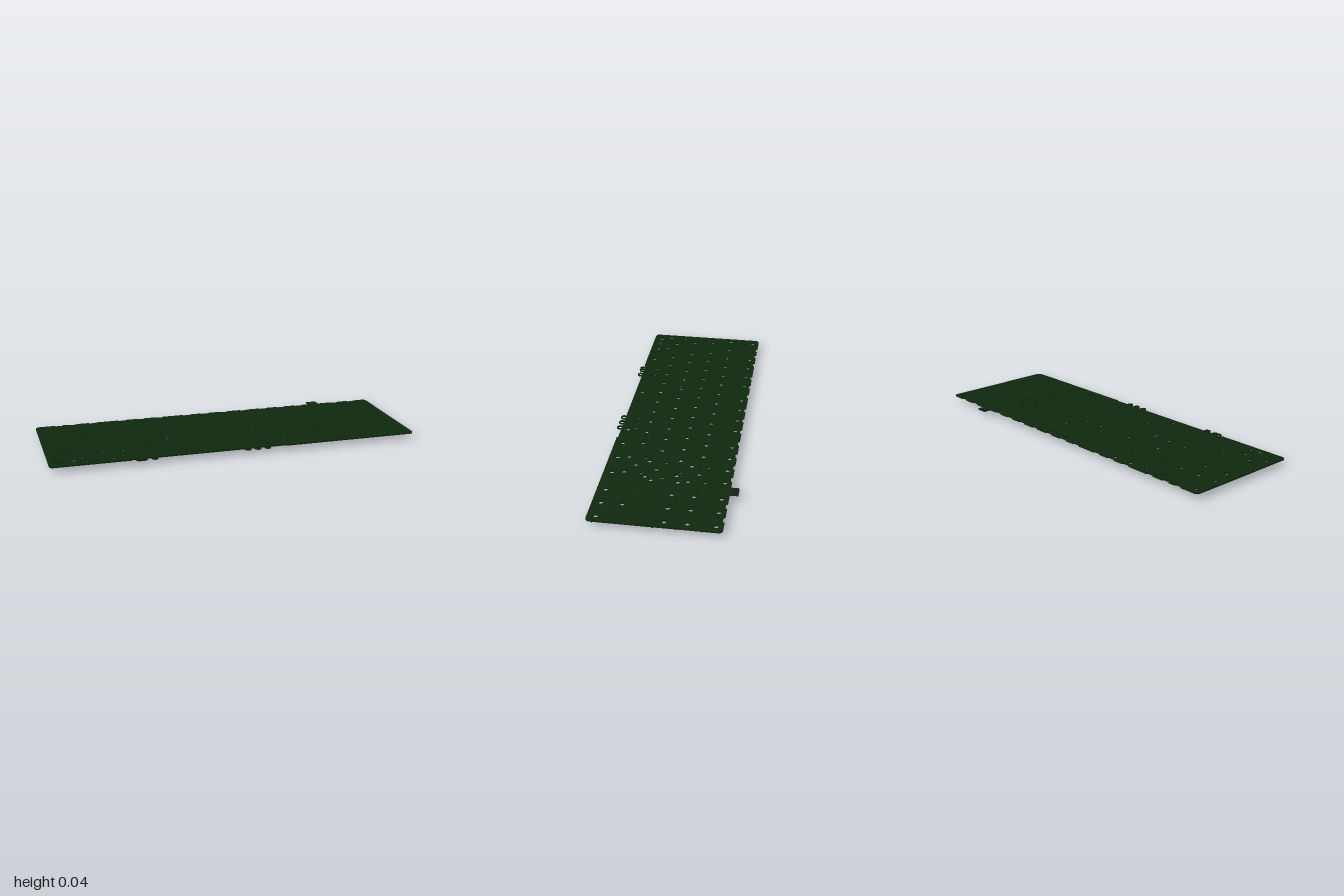
import * as THREE from 'three';

const U = 0.1112;                       // key pitch
const TOP = 0.035, BOTTOM = 0.0275;     // board faces
const keyX = u => (u - 9.125) * U;
const mat = color => new THREE.MeshStandardMaterial({ color });
const green = mat(0x10280f), black = mat(0x1c1c1c), grey = mat(0x4a4a4a), silver = mat(0xb5b5b5);

// run of n unit keys starting at centre a
const run = (a, n) => Array.from({ length: n }, (_, i) => a + i);
const nav = run(15.75, 3);
const ROWS = [
  { z: -0.285, keys: [0.5, ...run(2.5, 4), ...run(7, 4), ...run(11.5, 4), ...nav], diode: 0.065 },
  { z: -0.147, keys: [...run(0.5, 13), 14, ...nav], diode: 0.05 },
  { z: -0.035, keys: [0.75, ...run(2, 12), 14.25, ...nav], diode: 0.05 },
  { z: 0.077, keys: [0.875, ...run(2.25, 11), 13.875], diode: 0.05 },
  { z: 0.19, keys: [1.125, ...run(2.75, 10), 13.625, 16.75], diode: 0.05 },
  { z: 0.297, keys: [0.625, 1.875, 3.125, 6.875, 10.625, 11.875, 13.125, 14.375, ...nav], diode: 0.013 },
];
const RINGS = [-0.542, -0.517, -0.46, 0.042, 0.095, 0.15];
const RING_Z = 0.345, HOLE = 0.0117;

function circle(x, z, r, n) {
  return Array.from({ length: n }, (_, i) => {
    const a = i / n * Math.PI * 2;
    return new THREE.Vector2(x + Math.cos(a) * r, -z + Math.sin(a) * r);
  });
}

// flat plate from a shape drawn in (x, -z)
function plate(name, shape, y0, y1, material) {
  const geo = new THREE.ExtrudeGeometry(shape, { depth: y1 - y0, bevelEnabled: false });
  geo.rotateX(-Math.PI / 2).translate(0, y0, 0);
  const mesh = new THREE.Mesh(geo, material);
  mesh.name = name;
  return mesh;
}

// all drilled holes, skipping any that would run into one another
function collectHoles() {
  const holes = [];
  const add = (x, z, r, n = 8) => {
    if (z + r > 0.328 || z - r < -0.305 || Math.abs(x) + r > 0.99) return;
    if (holes.every(h => Math.hypot(h.x - x, h.z - z) > h.r + r + 0.0015)) holes.push({ x, z, r, n });
  };
  for (const { z, keys } of ROWS) for (const u of keys) add(keyX(u), z, HOLE, 16);
  // stabiliser pairs: small hole behind, large hole in front
  const stabs = [[14, -0.147, 0.0697], [13.875, 0.077, 0.0697], [13.625, 0.19, 0.0697],
    [1.125, 0.19, 0.0697], [6.875, 0.297, 0.292]];
  for (const [u, z, half] of stabs) for (const s of [-1, 1]) {
    add(keyX(u) + s * half, z - 0.041, 0.0088, 12);
    add(keyX(u) + s * half, z + 0.048, HOLE, 16);
  }
  for (const x of [-0.46, 0.095, 0.15]) add(x, 0.256, 0.0088, 12);
  // upright stabilisers of the tall alternative key
  for (const s of [-1, 1]) {
    add(0.543, 0.02 + s * 0.0697, 0.0088, 12);
    add(0.625, 0.02 + s * 0.0697, HOLE, 16);
  }
  add(0.59, 0.02, HOLE, 16);
  // guide posts, switch pins and lamp pins of each key
  for (const { z, keys } of ROWS) for (const u of keys) {
    const x = keyX(u);
    for (const s of [-1, 1]) {
      add(x + s * 0.0297, z, 0.005);
      add(x + s * 0.0074, z + 0.0297, 0.0029, 6);
    }
    add(x - 0.0222, z - 0.0148, 0.0044);
    add(x + 0.0148, z - 0.0297, 0.0044);
  }
  for (let i = 0; i < 4; i++) add(0.765, 0.112 + i * 0.0125, 0.0028, 6);
  return holes;
}

function boardShape() {
  const pts = [];
  const put = (x, z) => pts.push(new THREE.Vector2(x, -z));
  const corner = (cx, cz, start) => {
    for (let i = 0; i <= 5; i++) {
      const a = start + i / 5 * Math.PI / 2;
      put(cx + Math.cos(a) * 0.02, cz - Math.sin(a) * 0.02);
    }
  };
  // front edge, slightly stepped back in the middle, with hole bites
  corner(-0.98, 0.322, Math.PI);
  put(-0.58, 0.342); put(-0.575, 0.335);
  for (const x of RINGS) {
    for (let i = 0; i <= 6; i++) {
      const a = Math.PI - 0.55 * Math.PI + 0;
      const t = (i / 6 - 0.5) * 2 * (Math.PI - a) * 0.56 * 2;
      const w = Math.max(-1, Math.min(1, t)) * 0.006;
      put(x + w, RING_Z - Math.max(0.01, Math.sqrt(HOLE * HOLE - w * w)));
    }
  }
  put(0.25, 0.335); put(0.255, 0.342);
  corner(0.98, 0.322, -Math.PI / 2);
  // rear edge with shallow notches
  corner(0.98, -0.3, 0);
  for (const x of [0.9, 0.79, 0.56, 0.45, 0.34, 0.22, 0.1, -0.02, -0.13, -0.29, -0.4, -0.51, -0.68, -0.79, -0.87]) {
    put(x + 0.024, -0.32); put(x + 0.016, -0.311);
    put(x - 0.016, -0.311); put(x - 0.024, -0.32);
  }
  corner(-0.98, -0.3, Math.PI / 2);
  const shape = new THREE.Shape(pts);
  for (const h of collectHoles()) shape.holes.push(new THREE.Path(circle(h.x, h.z, h.r, h.n)));
  return shape;
}

export function createModel() {
  const model = new THREE.Group();
  model.name = 'keyboardCircuitBoard';
  const box = (name, x, y0, y1, z, w, d, material) => {
    const mesh = new THREE.Mesh(new THREE.BoxGeometry(w, y1 - y0, d), material);
    mesh.position.set(x, (y0 + y1) / 2, z);
    mesh.name = name;
    model.add(mesh);
  };

  model.add(plate('board', boardShape(), BOTTOM, TOP, green));

  // plated rings overhanging the front edge
  for (const x of RINGS) {
    const ring = new THREE.Shape(circle(x, RING_Z, 0.0175, 20));
    ring.holes.push(new THREE.Path(circle(x, RING_Z, HOLE, 20)));
    model.add(plate('edgeRing', ring, BOTTOM, TOP, green));
  }

  // connector tab at the rear with a grid of contacts
  const tab = new THREE.Shape([[0.634, 0.31], [0.692, 0.31], [0.692, 0.363], [0.634, 0.363]]
    .map(p => new THREE.Vector2(...p)));
  model.add(plate('connectorTab', tab, BOTTOM, TOP + 0.0005, green));
  for (let i = 0; i < 5; i++) box('tabContact', 0.643 + i * 0.01, TOP, TOP + 0.001, -0.342, 0.004, 0.034, black);

  // one diode under each key
  for (const { z, keys, diode } of ROWS) for (const u of keys) {
    box('diode', keyX(u) + 0.03, 0.0215, BOTTOM, z + diode, 0.014, 0.007, black);
  }

  // controller chip with legs on all four sides
  box('controllerChip', 0.7, 0.0165, 0.0265, 0.09, 0.058, 0.058, black);
  for (let i = 0; i < 10; i++) for (const s of [-1, 1]) {
    const o = (i - 4.5) * 0.0055;
    box('chipLeg', 0.7 + o, 0.024, BOTTOM, 0.09 + s * 0.032, 0.0025, 0.008, grey);
    box('chipLeg', 0.7 + s * 0.032, 0.024, BOTTOM, 0.09 + o, 0.008, 0.0025, grey);
  }

  // small parts around the chip
  box('driverChip', 0.617, 0.0165, BOTTOM, 0.02, 0.03, 0.032, black);
  box('regulator', 0.8, 0.0165, BOTTOM, 0.05, 0.034, 0.024, grey);
  for (const [x, z] of [[0.65, 0.14], [0.74, 0.14], [0.76, 0.03], [0.68, 0.01], [0.64, 0.06],
    [0.7, -0.13], [0.63, -0.1], [0.69, -0.22], [0.62, -0.22]]) {
    box('capacitor', x, 0.0205, BOTTOM, z, 0.014, 0.009, grey);
  }

  // cable socket with its locating pins
  box('cableSocket', 0.66, 0.007, BOTTOM, -0.155, 0.05, 0.024, silver);
  for (const s of [-1, 1]) box('socketPin', 0.66 + s * 0.018, 0, 0.038, -0.181, 0.004, 0.004, grey);

  // indicator lamps on the upper face
  box('indicatorLamp', -0.87, TOP, 0.042, 0.295, 0.012, 0.011, grey);
  box('indicatorLamp', -0.335, TOP, 0.042, 0.08, 0.012, 0.006, grey);
  return model;
}
